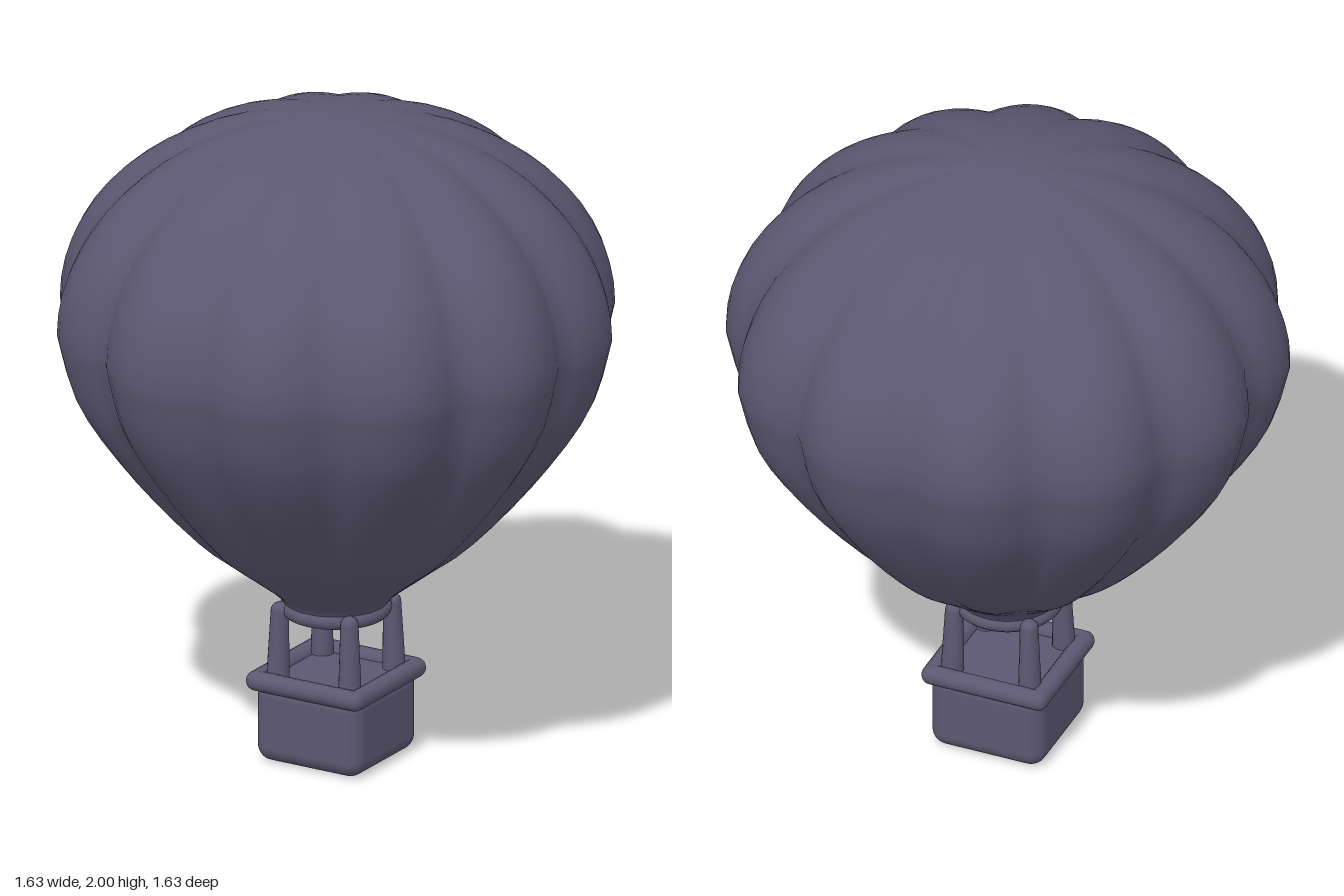
import * as THREE from 'three';
import { mergeVertices } from 'three/addons/utils/BufferGeometryUtils.js';
import { RoundedBoxGeometry } from 'three/addons/geometries/RoundedBoxGeometry.js';

const LOBES = 12;

// Lathe the balloon profile, then puff it out into lobes between sharp seams
function envelopeGeometry() {
  const lower = new THREE.SplineCurve([
    [0.145, 0.46], [0.175, 0.51], [0.29, 0.6], [0.41, 0.7], [0.6, 0.92], [0.75, 1.15], [0.81, 1.36],
  ].map(([x, y]) => new THREE.Vector2(x, y))).getPoints(20);
  const profile = lower.slice();
  for (let i = 1; i <= 16; i++) {
    const a = (i / 16) * Math.PI / 2;
    profile.push(new THREE.Vector2(i === 16 ? 0 : 0.81 * Math.cos(a), 1.36 + 0.64 * Math.sin(a)));
  }
  let g = new THREE.LatheGeometry(profile, LOBES * 8);
  const p = g.attributes.position;
  for (let i = 0; i < p.count; i++) {
    const x = p.getX(i), z = p.getZ(i), y = p.getY(i);
    const puff = 0.08 * THREE.MathUtils.smoothstep(y, 0.46, 0.75);
    const base = 1 - 0.62 * puff;
    const s = base + puff * Math.abs(Math.sin(Math.atan2(x, z) * LOBES / 2));
    p.setX(i, x * s);
    p.setZ(i, z * s);
  }
  g.deleteAttribute('uv');
  g.deleteAttribute('normal');
  g = mergeVertices(g, 1e-5);
  g.computeVertexNormals();
  return g;
}

export function createModel() {
  const model = new THREE.Group();
  const slate = new THREE.MeshStandardMaterial({ color: 0x5c5872, side: THREE.DoubleSide });
  slate.name = 'slate purple';

  const add = (name, geometry, x = 0, y = 0, z = 0) => {
    const mesh = new THREE.Mesh(geometry, slate);
    mesh.name = name;
    mesh.position.set(x, y, z);
    model.add(mesh);
    return mesh;
  };

  // Balloon and the ring round its mouth
  add('envelope', envelopeGeometry());
  add('mouthRing', new THREE.TorusGeometry(0.14, 0.025, 12, 48), 0, 0.465, 0).rotation.x = Math.PI / 2;

  // Basket with a thick rounded rim
  add('basket', new RoundedBoxGeometry(0.36, 0.255, 0.36, 5, 0.05), 0, 0.1325, 0).position.y = 0.1325 - 0.005 + 0.0;
  const rimBar = new THREE.CapsuleGeometry(0.03, 0.34, 6, 14);
  for (const s of [-1, 1]) {
    add('basketRimSide', rimBar, s * 0.17, 0.25, 0).rotation.x = Math.PI / 2;
    add('basketRimEnd', rimBar, 0, 0.25, s * 0.17).rotation.z = Math.PI / 2;
  }

  // Four tapered posts with rounded tops
  const postProfile = [new THREE.Vector2(0.035, 0), new THREE.Vector2(0.027, 0.225)];
  for (let i = 1; i <= 5; i++) {
    const a = (i / 5) * Math.PI / 2;
    postProfile.push(new THREE.Vector2(i === 5 ? 0 : 0.027 * Math.cos(a), 0.225 + 0.025 * Math.sin(a)));
  }
  const postGeometry = new THREE.LatheGeometry(postProfile, 16);
  for (const sx of [-1, 1]) for (const sz of [-1, 1]) {
    const post = add('post', postGeometry, sx * 0.124, 0.24, sz * 0.124);
    post.rotation.set(-sz * 0.02, 0, sx * 0.02);
  }
  return model;
}
